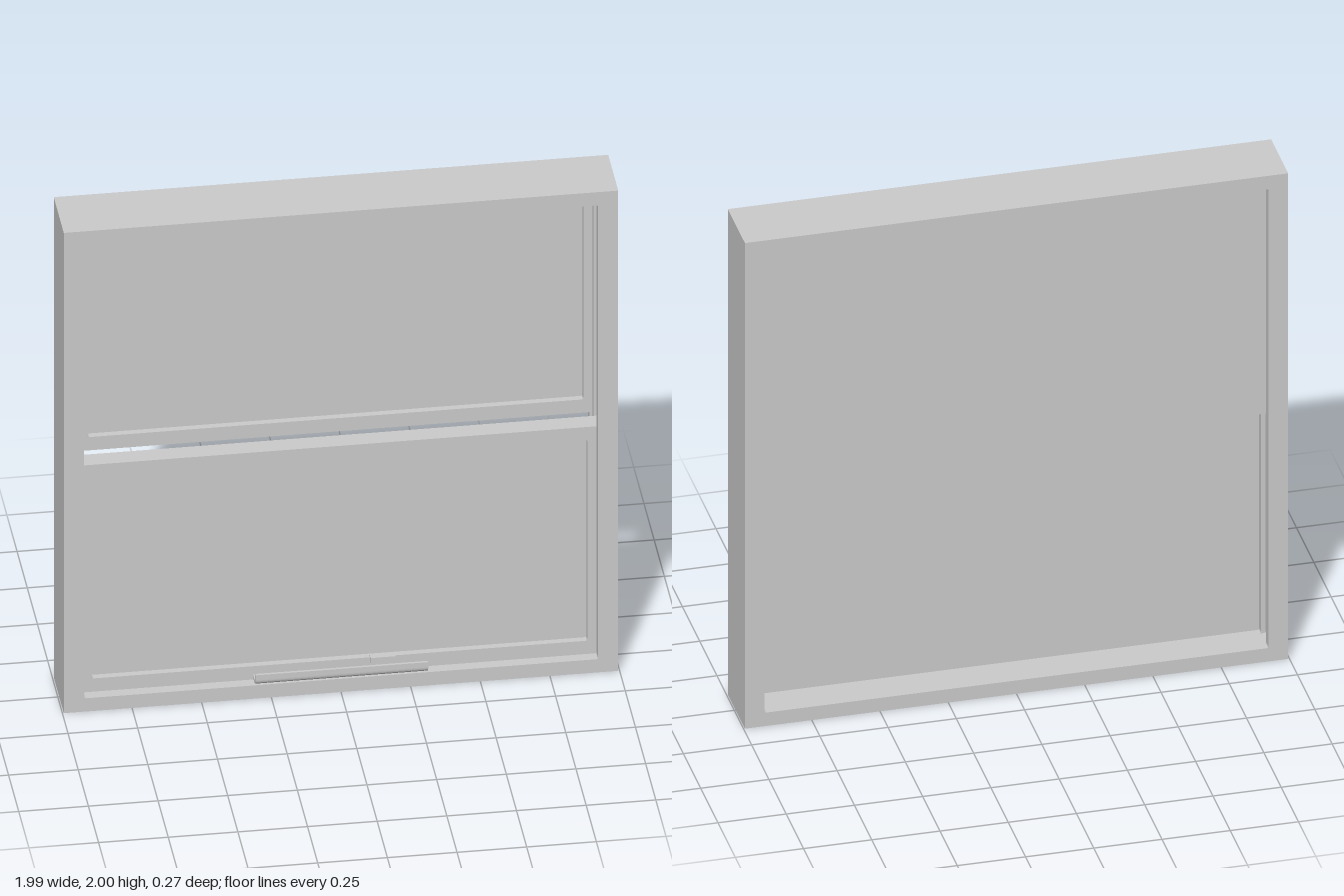
import * as THREE from 'three';

const HALF = 0.995; // half width of the outer frame

// Rounded rectangle path from x0,y0 to x1,y1
function roundRect(path, x0, y0, x1, y1, r) {
  path.moveTo(x0 + r, y0);
  path.lineTo(x1 - r, y0);
  path.quadraticCurveTo(x1, y0, x1, y0 + r);
  path.lineTo(x1, y1 - r);
  path.quadraticCurveTo(x1, y1, x1 - r, y1);
  path.lineTo(x0 + r, y1);
  path.quadraticCurveTo(x0, y1, x0, y1 - r);
  path.lineTo(x0, y0 + r);
  path.quadraticCurveTo(x0, y0, x0 + r, y0);
  return path;
}

// Rectangular ring: outer half width and heights, opening half width and heights, z range
function ring(outer, inner, z0, z1, r) {
  const [ow, oy0, oy1] = outer;
  const [iw, iy0, iy1] = inner;
  const shape = new THREE.Shape();
  shape.moveTo(-ow, oy0);
  shape.lineTo(ow, oy0);
  shape.lineTo(ow, oy1);
  shape.lineTo(-ow, oy1);
  shape.closePath();
  shape.holes.push(roundRect(new THREE.Path(), -iw, iy0, iw, iy1, r));
  const geo = new THREE.ExtrudeGeometry(shape, { depth: z1 - z0, bevelEnabled: false, curveSegments: 4 });
  return geo.translate(0, 0, z0);
}

export function createModel() {
  const model = new THREE.Group();
  model.name = 'sashWindow';
  const mat = new THREE.MeshStandardMaterial({ color: 0xcccccc });
  const thin = new THREE.MeshStandardMaterial({ color: 0xcccccc, side: THREE.DoubleSide });

  const add = (parent, name, geo, material = mat) => {
    const mesh = new THREE.Mesh(geo, material);
    mesh.name = name;
    parent.add(mesh);
    return mesh;
  };
  const box = (x0, x1, y0, y1, z0, z1) =>
    new THREE.BoxGeometry(x1 - x0, y1 - y0, z1 - z0)
      .translate((x0 + x1) / 2, (y0 + y1) / 2, (z0 + z1) / 2);

  // Outer frame: stops alternating with the two sash tracks let into the jambs
  const frame = new THREE.Group();
  frame.name = 'frame';
  model.add(frame);
  const stop = 0.923, track = 0.94;
  [
    ['backStop', -0.134, -0.097, stop],
    ['upperSashTrack', -0.097, -0.028, track],
    ['partingStop', -0.028, -0.001, stop],
    ['lowerSashTrack', -0.001, 0.071, track],
    ['frontStop', 0.071, 0.112, stop],
  ].forEach(([name, z0, z1, w]) =>
    add(frame, name, ring([HALF, 0, 2], [w, 0.055, 1.945], z0, z1, 0.008)));

  // Sashes: a border with a pane recessed at the front and flush at the back
  const sash = (name, y0, y1, z0, z1, glass) => {
    const g = new THREE.Group();
    g.name = name;
    add(g, name + 'Border', ring([track, y0, y1], [0.89, ...glass], z0, z1, 0.01));
    add(g, name + 'Pane', box(-0.892, 0.892, glass[0] - 0.002, glass[1] + 0.002, z0, z1 - 0.025));
    model.add(g);
    return g;
  };
  sash('upperSash', 1.0, 1.945, -0.097, -0.028, [1.055, 1.895]);
  const lower = sash('lowerSash', 0.055, 1.0, -0.001, 0.071, [0.11, 0.95]);

  // Lift handle: a curved lip swept along the bottom rail
  const lip = new THREE.Shape();
  lip.moveTo(0.07, 0.065);
  lip.lineTo(0.108, 0.065);
  lip.quadraticCurveTo(0.134, 0.067, 0.134, 0.09);
  lip.lineTo(0.134, 0.11);
  lip.lineTo(0.124, 0.11);
  lip.lineTo(0.124, 0.092);
  lip.quadraticCurveTo(0.123, 0.076, 0.106, 0.075);
  lip.lineTo(0.07, 0.075);
  lip.closePath();
  const handle = new THREE.ExtrudeGeometry(lip, { depth: 0.62, bevelEnabled: false, curveSegments: 10 });
  handle.rotateY(-Math.PI / 2).translate(0.31, 0, 0);
  add(lower, 'liftHandle', handle, thin);

  // Small catch on the rail behind the handle
  add(lower, 'catch', box(0.11, 0.2, 0.09, 0.115, 0.06, 0.085));

  return model;
}
